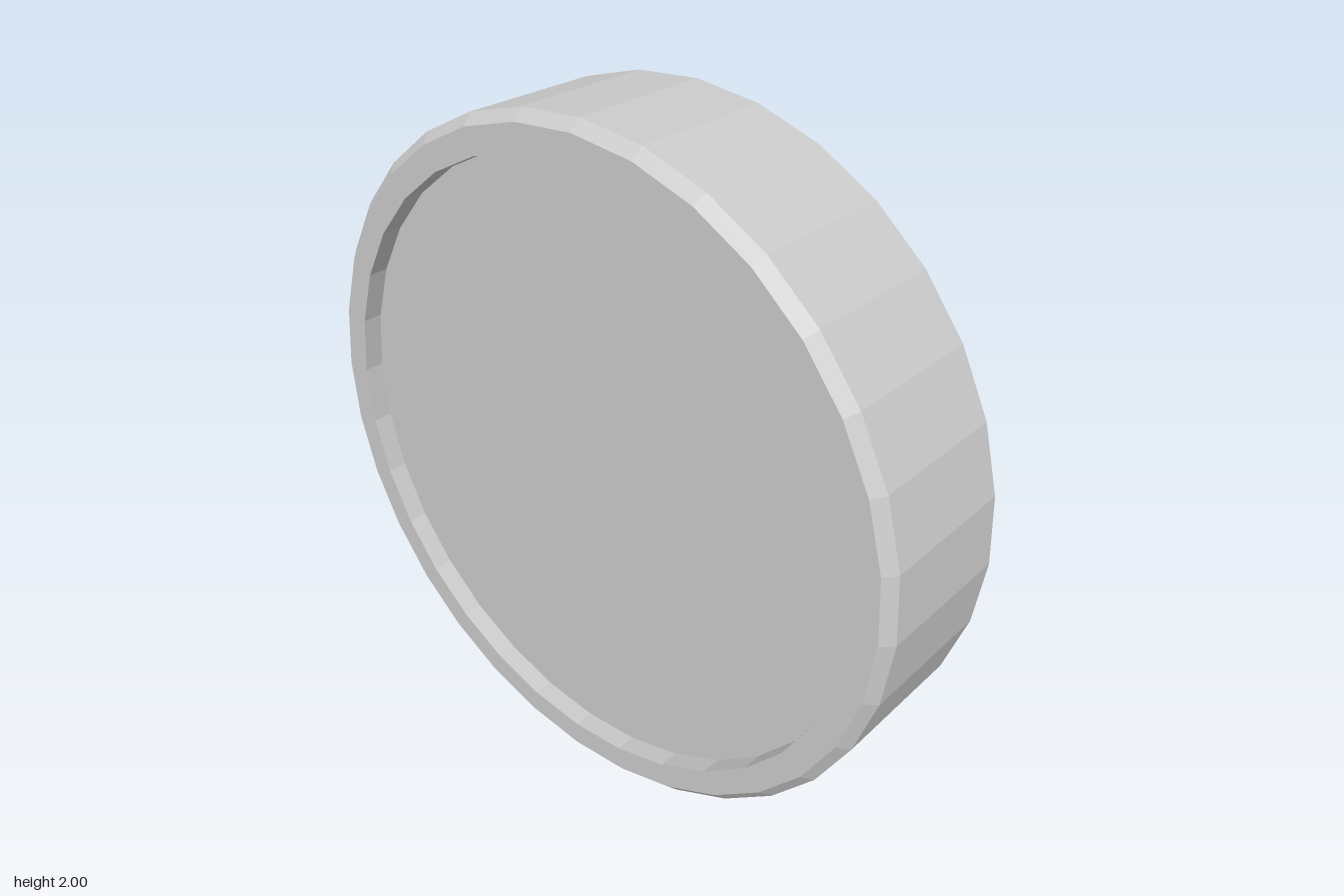
import * as THREE from 'three';

export function createModel() {
  const group = new THREE.Group();
  group.name = 'disc';

  const radius = 0.995, rimOuter = 0.965, rimInner = 0.89;
  const half = 0.24, bevel = 0.03, recess = 0.06;

  // Half profile from the recessed face out to the bevelled edge
  const side = [
    [0, half - recess],
    [rimInner, half - recess],
    [rimInner, half],
    [rimOuter, half],
    [radius, half - bevel],
  ];
  // Mirror it so both faces have the same raised rim
  const profile = [
    ...side.map(([r, h]) => new THREE.Vector2(r, -h)),
    ...side.slice().reverse().map(([r, h]) => new THREE.Vector2(r, h)),
  ];

  const disc = new THREE.Mesh(
    new THREE.LatheGeometry(profile, 32),
    new THREE.MeshStandardMaterial({ color: 0xcccccc, flatShading: true })
  );
  disc.name = 'rimmedDisc';

  // Stand on edge, leaning slightly towards +x
  disc.rotation.z = -THREE.MathUtils.degToRad(90 + 1.35);
  disc.position.y = 1;
  group.add(disc);

  return group;
}
